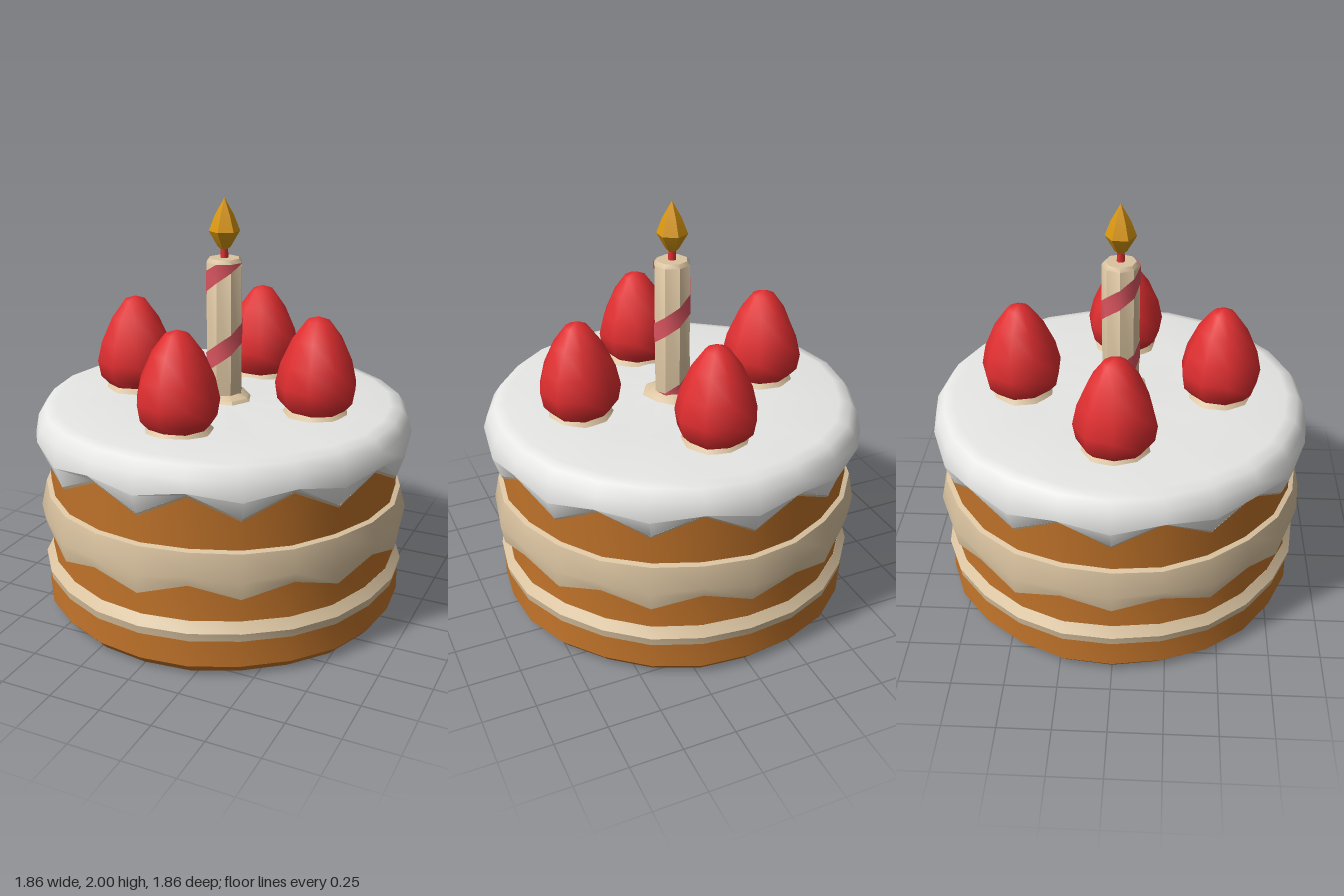
import * as THREE from 'three';
import { toCreasedNormals } from 'three/addons/utils/BufferGeometryUtils.js';

const paint = (name, color) => {
  const m = new THREE.MeshStandardMaterial({ color });
  m.name = name;
  return m;
};

// Turned shape from rows of [radius, y, wave]; wave moves the row up and down twelve times around.
function turned(rows, sides, wobble = 0, crease = 0.7) {
  const geo = new THREE.LatheGeometry(rows.map(([r, y]) => new THREE.Vector2(r, y)), sides);
  const pos = geo.attributes.position;
  for (let i = 0; i < pos.count; i++) {
    const step = Math.floor(i / rows.length) % sides;
    const row = rows[i % rows.length];
    const a = (step / sides) * Math.PI * 2;
    const uneven = 1 + 0.2 * Math.sin(step * 2.4);
    const swell = 1 + wobble * Math.sin(step * 1.9 + row[1] * 5);
    pos.setXYZ(i, pos.getX(i) * swell, row[1] + (row[2] || 0) * uneven * Math.cos(12 * a), pos.getZ(i) * swell);
  }
  return toCreasedNormals(geo, crease);
}

// Striped ribbon winding up the candle, sharing the candle's flat sides.
function ribbon(sides, radius, pitch, width, bottom, top) {
  const verts = [], index = [];
  const turns = Math.ceil((top - bottom) / pitch) + 1;
  for (let i = 0; i <= turns * sides; i++) {
    const a = (i / sides) * Math.PI * 2;
    const y = bottom - 0.24 + (i / sides) * pitch;
    for (const h of [y, y + width]) {
      verts.push(Math.sin(a) * radius, THREE.MathUtils.clamp(h, bottom, top), Math.cos(a) * radius);
    }
    if (i > 0) {
      const k = i * 2;
      index.push(k - 2, k, k - 1, k, k + 1, k - 1);
    }
  }
  const geo = new THREE.BufferGeometry();
  geo.setAttribute('position', new THREE.Float32BufferAttribute(verts, 3));
  geo.setIndex(index);
  return toCreasedNormals(geo, 0.9);
}

export function createModel() {
  const cake = new THREE.Group();
  cake.name = 'birthdayCake';
  const sponge = paint('sponge', 0xc0732a);
  const cream = paint('cream', 0xdac3a0);
  const icing = paint('icing', 0xe6e6e5);
  const berry = paint('strawberryRed', 0xe02e30);
  const pink = paint('candlePink', 0xda5560);
  const fire = paint('flameOrange', 0xd8960f);
  cream.side = icing.side = pink.side = THREE.DoubleSide;

  const add = (name, geo, mat, parent = cake) => {
    const mesh = new THREE.Mesh(geo, mat);
    mesh.name = name;
    parent.add(mesh);
    return mesh;
  };

  // Sponge layers
  add('lowerSponge', turned([[0, 0], [0.85, 0.005], [0.89, 0.05], [0.885, 0.19]], 24, 0.006), sponge);
  add('upperSponge', turned([[0.865, 0.24], [0.86, 0.42], [0.865, 0.62], [0.87, 0.95]], 24, 0.006), sponge);

  // Cream fillings
  add('lowerCream', turned([[0.84, 0.18], [0.893, 0.18], [0.9, 0.22], [0.865, 0.265], [0.83, 0.265]], 24, 0.005), cream);
  add('middleCream', turned([
    [0.84, 0.44, -0.03], [0.9, 0.42, -0.033], [0.914, 0.49, -0.015], [0.888, 0.61], [0.84, 0.625],
  ], 24, 0.006), cream);

  // Dripping icing, with a thin cream edge beneath it
  add('icingUnderside', turned([[0.84, 0.825, -0.05], [0.886, 0.808, -0.055], [0.894, 0.822, -0.055]], 24, 0.005), cream);
  add('icing', turned([
    [0.894, 0.822, -0.055], [0.93, 0.885, -0.02], [0.912, 0.96], [0.875, 1.012],
    [0.82, 1.024], [0.45, 1.018, 0.004], [0.16, 1.025], [0, 1.03],
  ], 24, 0.006, 0.9), icing);

  // Four strawberries, each on a dab of cream
  const berryShape = turned([
    [0, 1.02], [0.13, 1.022], [0.182, 1.08], [0.195, 1.16], [0.172, 1.26], [0.118, 1.38], [0.055, 1.465], [0, 1.485],
  ], 9, 0.02, 1);
  const dabShape = new THREE.CylinderGeometry(0.14, 0.165, 0.03, 9);
  for (let i = 0; i < 4; i++) {
    const a = (i * Math.PI) / 2;
    const strawberry = new THREE.Group();
    strawberry.name = 'strawberry' + (i + 1);
    strawberry.position.set(0.485 * Math.sin(a), 0, 0.485 * Math.cos(a));
    strawberry.rotation.y = a;
    add('fruit', berryShape, berry, strawberry);
    add('creamDab', dabShape, cream, strawberry).position.y = 1.028;
    cake.add(strawberry);
  }

  // Candle
  const candle = new THREE.Group();
  candle.name = 'candle';
  candle.position.x = 0.005;
  cake.add(candle);
  add('creamSmear', turned([[0.15, 1.015], [0.13, 1.04], [0.07, 1.06]], 9, 0.08), cream, candle);
  add('stick', turned([[0.09, 1.02], [0.09, 1.7], [0.075, 1.718], [0, 1.718]], 8), cream, candle);
  add('stripe', ribbon(8, 0.0935, 0.4, 0.1, 1.05, 1.7), pink, candle);
  add('wick', new THREE.CylinderGeometry(0.016, 0.02, 0.08, 6), berry, candle).position.y = 1.745;
  add('flame', turned([
    [0, 1.745], [0.03, 1.77], [0.074, 1.845], [0.045, 1.92], [0, 2],
  ], 6, 0, 0.5), fire, candle);

  return cake;
}
